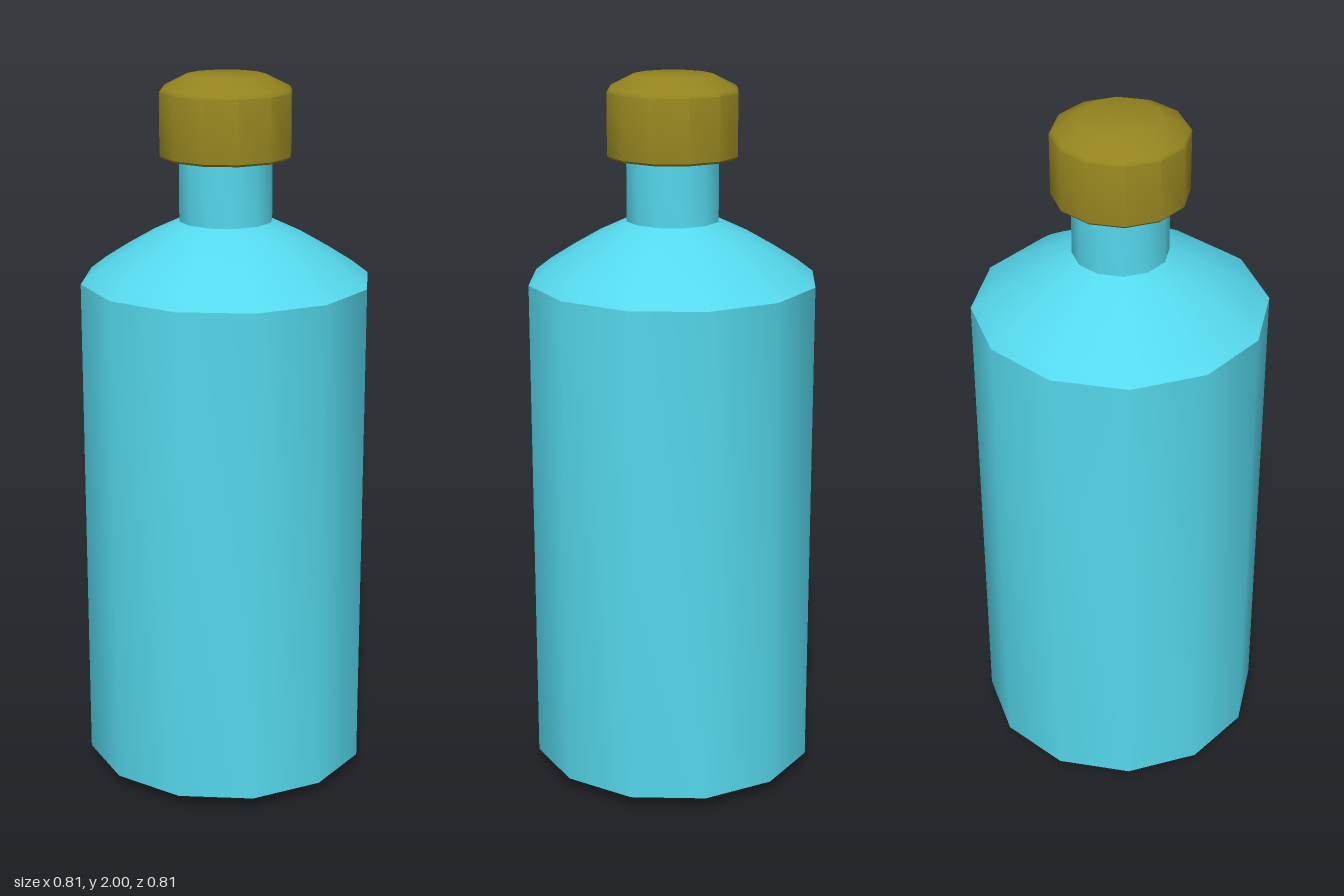
import * as THREE from 'three';
import { toCreasedNormals } from 'three/addons/utils/BufferGeometryUtils.js';

const SIDES = 12;

// Twelve-sided turned part: smooth around, sharp at strong profile corners
function turned(name, color, profile) {
  const points = profile.map(([r, y]) => new THREE.Vector2(r, y));
  const geometry = toCreasedNormals(new THREE.LatheGeometry(points, SIDES), THREE.MathUtils.degToRad(35));
  const mesh = new THREE.Mesh(geometry, new THREE.MeshStandardMaterial({ color }));
  mesh.name = name;
  return mesh;
}

export function createModel() {
  const group = new THREE.Group();
  group.name = 'bottle';

  // Glass: bevelled base, straight wall, domed shoulder and neck
  group.add(turned('bottleBody', 0x55d8ec, [
    [0, 0], [0.26, 0], [0.405, 0.04],
    [0.405, 1.44], [0.36, 1.475], [0.29, 1.52], [0.21, 1.567], [0.13, 1.605],
    [0.13, 1.82], [0, 1.82],
  ]));

  // Cap: flat underside, straight wall and bevelled top
  group.add(turned('cap', 0x94841f, [
    [0, 1.78], [0.178, 1.78], [0.183, 1.786],
    [0.183, 1.957], [0.176, 1.967], [0.11, 2], [0, 2],
  ]));

  return group;
}
